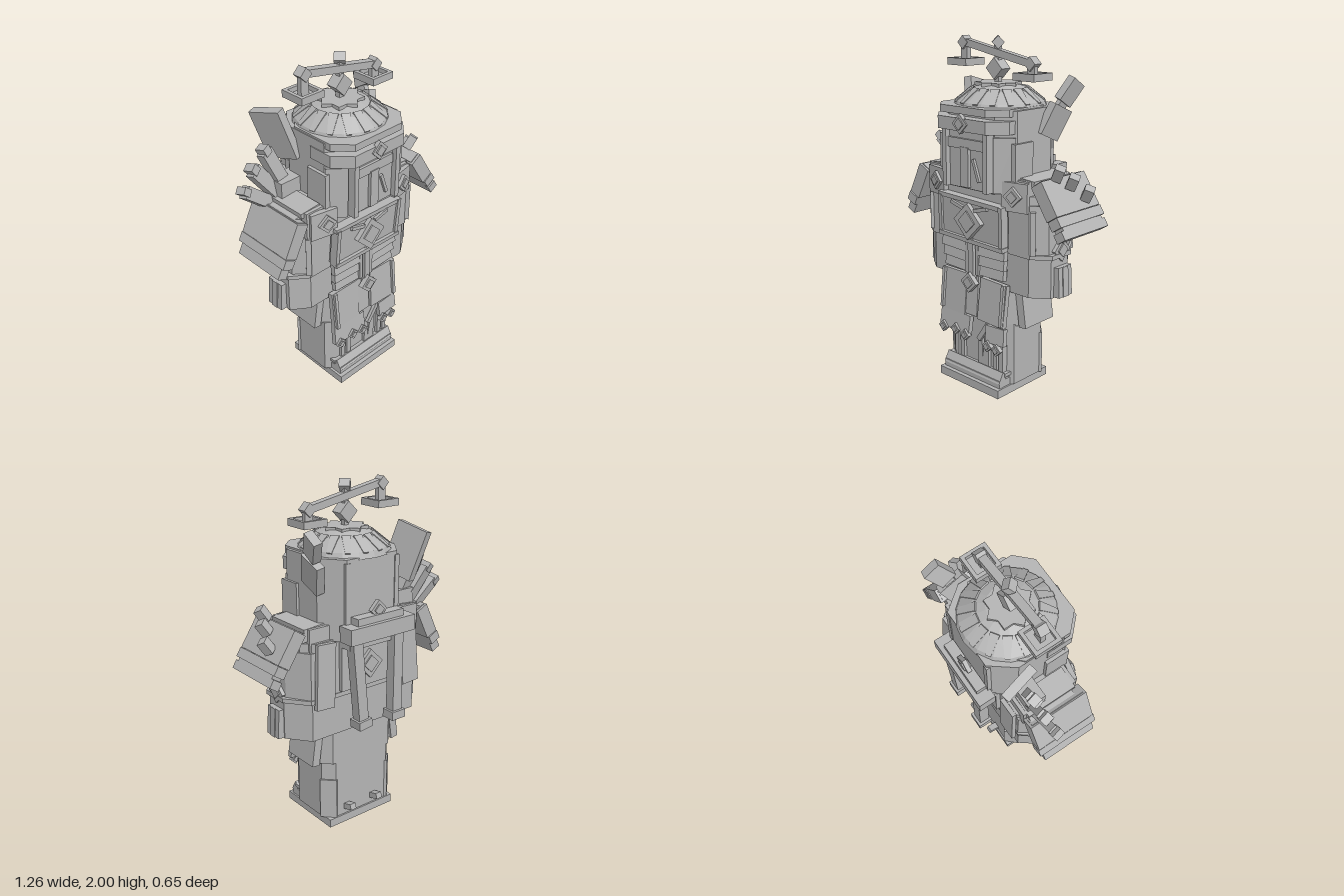
import * as THREE from 'three';

const stone = new THREE.MeshStandardMaterial({ color: 0xb4b4b4, flatShading: true });
stone.name = 'grey stone';

export function createModel() {
  const root = new THREE.Group();
  root.name = 'armouredStatue';

  const add = (name, geo, x = 0, y = 0, z = 0, rx = 0, ry = 0, rz = 0, parent = root) => {
    const m = new THREE.Mesh(geo, stone);
    m.name = name;
    m.position.set(x, y, z);
    m.rotation.set(rx, ry, rz);
    parent.add(m);
    return m;
  };
  const box = (name, w, h, d, x, y, z, rx, ry, rz, parent) =>
    add(name, new THREE.BoxGeometry(w, h, d), x, y, z, rx, ry, rz, parent);
  // box given by its limits
  const block = (name, x0, x1, y0, y1, z0, z1) =>
    box(name, x1 - x0, y1 - y0, z1 - z0, (x0 + x1) / 2, (y0 + y1) / 2, (z0 + z1) / 2);
  // upright prism with chamfered corners: cx across, cf front depth, cb back depth
  const prism = (name, x0, x1, z0, z1, y0, y1, cx, cf = cx, cb = cf) => {
    const pts = [[x0 + cx, z0], [x1 - cx, z0], [x1, z0 + cb], [x1, z1 - cf],
      [x1 - cx, z1], [x0 + cx, z1], [x0, z1 - cf], [x0, z0 + cb]];
    const geo = new THREE.ExtrudeGeometry(
      new THREE.Shape(pts.map(([x, z]) => new THREE.Vector2(x, -z))),
      { depth: y1 - y0, bevelEnabled: false });
    geo.rotateX(-Math.PI / 2);
    return add(name, geo, 0, y0, 0);
  };
  // square set on its corner, r is the half diagonal
  const diamond = (name, r, d, x, y, z, ry = 0) => {
    const g = new THREE.Group();
    g.name = name;
    g.position.set(x, y, z);
    g.rotation.y = ry;
    root.add(g);
    const s = r * Math.SQRT2;
    box('diamondPlate', s, s, d, 0, 0, 0, 0, 0, Math.PI / 4, g);
    box('diamondBoss', s * 0.6, s * 0.6, d + 0.015, 0, 0, 0, 0, 0, Math.PI / 4, g);
  };

  // plinth and legs
  block('plinth', -0.245, 0.23, 0, 0.05, -0.15, 0.275);
  prism('legColumn', -0.265, 0.24, -0.14, 0.19, 0.05, 0.42, 0.06, 0.04, 0.06);
  block('lowerStep', -0.23, 0.22, 0.05, 0.095, 0.15, 0.25);
  box('tiltedStep', 0.45, 0.07, 0.04, -0.005, 0.1, 0.22, -0.5);
  block('stepRail', -0.235, 0.225, 0.11, 0.13, 0.16, 0.21);
  for (const x of [-0.165, -0.12, 0.03, 0.08, 0.145, 0.19]) {
    block('legPipe', x - 0.015, x + 0.015, 0.12, 0.3, 0.17, 0.21);
  }
  for (const x of [-0.1, 0.1]) box('rearStud', 0.04, 0.035, 0.07, x, 0.11, -0.17, 0.3);
  for (const s of [-1, 1]) {
    box('cornerPost', 0.1, 0.25, 0.025, s * 0.22 - 0.012, 0.175, -0.108, 0, s * 2.356);
  }

  // skirt with panels, tassets and fringe
  prism('skirtCore', -0.28, 0.26, -0.14, 0.18, 0.41, 0.63, 0.06);
  box('skirtPanel', 0.2, 0.25, 0.03, -0.165, 0.545, 0.215, -0.1);
  box('skirtPanel', 0.2, 0.25, 0.03, 0.14, 0.545, 0.215, -0.1, 0, -0.03);
  box('skirtCentre', 0.09, 0.24, 0.03, -0.02, 0.55, 0.21, -0.08);
  for (const s of [-1, 1]) {
    box('skirtPanelRim', 0.02, 0.24, 0.02, s * 0.235 - 0.01, 0.55, 0.235, -0.1);
    box('hipFlap', 0.05, 0.22, 0.24, s * 0.285 - 0.008, 0.52, 0.02, 0, 0, s * 0.14);
  }
  box('fringePlate', 0.24, 0.12, 0.03, -0.145, 0.365, 0.23, -0.12, 0, -0.04);
  box('fringePlate', 0.14, 0.1, 0.03, 0.175, 0.36, 0.23, -0.12, 0, 0.06);
  for (const [x, y] of [[-0.23, 0.31], [-0.13, 0.32], [-0.05, 0.305], [0.13, 0.29], [0.2, 0.285]]) {
    diamond('fringeDiamond', 0.036, 0.025, x, y, 0.25);
  }
  box('brokenStrap', 0.03, 0.14, 0.02, 0.07, 0.35, 0.22, 0, 0, -0.6);
  box('brokenStrap', 0.025, 0.16, 0.02, 0.065, 0.21, 0.2, 0, 0, -0.15);

  // waist and torso
  prism('waist', -0.48, 0.46, -0.17, 0.17, 0.62, 0.85, 0.1, 0.07, 0.13);
  prism('waistRim', -0.49, 0.475, -0.18, 0.18, 0.845, 0.87, 0.1, 0.07, 0.13);
  prism('torso', -0.46, 0.45, -0.175, 0.18, 0.87, 1.14, 0.08, 0.07, 0.13);
  prism('torsoRim', -0.42, 0.4, -0.175, 0.2, 1.1, 1.19, 0.06);
  for (const s of [-1, 1]) {
    box('waistTab', 0.04, 0.17, 0.11, s * 0.485 - 0.01, 0.71, 0.02, 0, 0, s * 0.06);
    diamond('sideDiamond', 0.065, 0.045, s * 0.455 - 0.005, 0.885, 0.02, Math.PI / 2);
    box('sideStrip', 0.03, 0.17, 0.045, s * 0.495 - 0.01, 0.71, 0.02, 0, 0, s * 0.06);
    box('torsoPost', 0.03, 0.24, 0.04, s * 0.39, 0.99, 0.17, 0, s * 0.7);
    // stacked belt plates
    for (let i = 0; i < 3; i++) {
      box('beltPlate', 0.21 - i * 0.015, 0.065, 0.03, s * 0.14 - 0.01, 0.84 - i * 0.06, 0.215 - i * 0.005, -0.15, 0, s * 0.03);
    }
    box('beltEdge', 0.02, 0.19, 0.03, s * 0.04 - 0.01, 0.78, 0.22);
  }
  block('beltStrip', -0.03, 0.01, 0.62, 0.9, 0.18, 0.245);
  diamond('beltDiamond', 0.06, 0.03, -0.01, 0.64, 0.25);

  // chest plate with framed emblem
  box('chestPlate', 0.48, 0.24, 0.05, -0.01, 1, 0.215, 0.05, 0, -0.03);
  for (const s of [-1, 1]) {
    box('chestRim', 0.5, 0.025, 0.05, -0.01, 1 + s * 0.115, 0.228, 0.05, 0, -0.03);
    box('chestRim', 0.025, 0.24, 0.05, -0.01 + s * 0.235, 1, 0.228, 0.05, 0, -0.03);
    box('chestBracket', 0.1, 0.02, 0.02, s * 0.09 - 0.01, 1.08, 0.25, 0, 0, s * 0.25);
  }
  diamond('chestEmblem', 0.105, 0.04, -0.01, 1, 0.25);

  // shoulders
  for (const s of [-1, 1]) {
    box('shoulderBlock', 0.16, 0.16, 0.34, s * 0.305 - 0.02, 1.19, 0.01);
    box('shoulderCap', 0.13, 0.03, 0.3, s * 0.34 - 0.02, 1.26, 0.01, 0, 0, -s * 0.08);
    box('shoulderFront', 0.16, 0.16, 0.03, s * 0.3 - 0.01, 1.18, 0.2, 0, s * 0.2);
    diamond('shoulderDiamond', 0.055, 0.03, s * 0.295 - 0.005, 1.185, 0.22, s * 0.2);
    // hanging arm guard, tilted outward
    const guard = new THREE.Group();
    guard.name = s > 0 ? 'leftArmGuard' : 'rightArmGuard';
    guard.position.set(s * 0.515, s > 0 ? 1.135 : 1.09, 0.015);
    guard.rotation.z = s * (s > 0 ? 0.58 : 0.46);
    root.add(guard);
    box('guardPlate', 0.06, 0.33, 0.33, 0, 0, 0, 0, 0, 0, guard);
    box('guardUpper', 0.08, 0.2, 0.36, 0, 0.06, 0, 0, 0, 0, guard);
    box('guardMiddle', 0.07, 0.055, 0.37, s * 0.005, -0.07, 0, 0, 0, 0, guard);
    box('guardLower', 0.06, 0.05, s > 0 ? 0.37 : 0.28, 0, -0.14, 0, 0, 0, 0, guard);
    box('guardLink', 0.12, 0.05, 0.28, s * 0.42, 1.22, 0, 0, 0, -s * 0.1);
  }
  for (const [x, y, z] of [[0.49, 1.32, 0.09], [0.53, 1.27, 0.02], [0.57, 1.2, -0.06]]) {
    box('guardStud', 0.055, 0.08, 0.05, x, y, z, 0.5, 0.4, -0.6);
  }

  // fan of slats behind the right shoulder: x, y, length, width, z, depth, lean
  for (const [x, y, l, w, z, d, a] of [
    [-0.325, 1.59, 0.29, 0.05, -0.14, 0.2, 0.26], [-0.385, 1.43, 0.22, 0.08, -0.1, 0.05, 0.38],
    [-0.445, 1.365, 0.23, 0.08, -0.1, 0.05, 0.65], [-0.505, 1.295, 0.22, 0.07, -0.09, 0.05, 0.9]]) {
    const g = new THREE.Group();
    g.name = 'wingSlat';
    g.position.set(x, y, z);
    g.rotation.set(-0.25, 0.2, a);
    root.add(g);
    box('slat', w, l, d, 0, 0, 0, 0, 0, 0, g);
    if (w > 0.06) box('slatTip', w * 0.6, 0.05, d * 1.2, 0, l / 2 + 0.005, 0, 0, 0, 0, g);
  }
  block('wingRoot', -0.4, -0.25, 1.22, 1.36, -0.13, -0.02);

  // broken horn on the left
  box('hornLower', 0.05, 0.18, 0.15, 0.295, 1.55, -0.1, -0.4, 0, -0.25);
  box('hornJoint', 0.03, 0.09, 0.06, 0.32, 1.65, -0.14, -0.5, 0, -0.3);
  box('hornUpper', 0.05, 0.14, 0.1, 0.345, 1.71, -0.17, -0.55, 0, -0.3);

  // head
  prism('head', -0.27, 0.275, -0.235, 0.24, 1.18, 1.63, 0.1, 0.07, 0.13);
  prism('headRim', -0.265, 0.255, -0.15, 0.3, 1.6, 1.64, 0.09);
  prism('browBand', -0.275, 0.265, 0.05, 0.31, 1.51, 1.58, 0.09, 0.09, 0.02);
  block('facePlate', -0.16, 0.16, 1.19, 1.51, 0.2, 0.265);
  block('visorBar', -0.145, 0.13, 1.41, 1.465, 0.25, 0.28);
  block('noseGuard', -0.04, 0.02, 1.2, 1.42, 0.25, 0.285);
  box('faceScar', 0.018, 0.13, 0.02, 0.07, 1.3, 0.27, 0, 0, 0.35);
  diamond('browDiamond', 0.055, 0.025, -0.01, 1.55, 0.305);
  for (const s of [-1, 1]) {
    block('faceEdge', s * 0.155 - 0.015, s * 0.155 + 0.015, 1.19, 1.51, 0.2, 0.295);
    box('cheekPlate', 0.12, 0.3, 0.03, s * 0.22, 1.34, 0.21, 0, s * 0.7);
    box('earPlate', 0.03, 0.26, 0.14, s * 0.275, 1.33, 0.13);
    box('napePost', 0.03, 0.42, 0.03, s * 0.17, 1.4, -0.225);
  }

  // dome with tapering ribs
  const profile = [[0.265, 0], [0.25, 0.035], [0.18, 0.09], [0.11, 0.118], [0, 0.125]]
    .map(([r, y]) => new THREE.Vector2(r, y));
  add('dome', new THREE.LatheGeometry(profile, 18), 0, 1.62, 0.01);
  const ribGeo = new THREE.CylinderGeometry(0.036, 0.02, 0.12, 4).rotateY(Math.PI / 4).scale(1, 1, 0.3);
  for (let i = 0; i < 16; i++) {
    const rib = new THREE.Group();
    rib.name = 'domeRib';
    rib.position.set(0, 1.62, 0.01);
    rib.rotation.y = (i + 0.5) / 16 * Math.PI * 2;
    root.add(rib);
    add('ribWedge', ribGeo, 0, 0.066, 0.204, -0.93, 0, 0, rib);
  }
  for (const a of [0, Math.PI / 4]) box('domeStar', 0.185, 0.02, 0.185, -0.01, 1.742, 0.015, 0, a);

  // balance on the crown
  block('balancePost', -0.025, 0.005, 1.75, 1.96, 0, 0.03);
  box('balanceBoss', 0.085, 0.085, 0.07, -0.01, 1.825, 0.015, 0, 0, Math.PI / 4);
  box('balanceFinial', 0.05, 0.05, 0.06, -0.01, 1.965, 0.015, 0, Math.PI / 4, Math.PI / 4);
  box('balanceBeam', 0.53, 0.04, 0.045, -0.01, 1.91, 0.015, 0, 0, -0.19);
  for (const [x, top, pan] of [[-0.262, 1.955, 1.845], [0.24, 1.862, 1.79]]) {
    box('beamEnd', 0.055, 0.055, 0.055, x, top, 0.015, 0, 0, Math.PI / 4);
    block('panHanger', x - 0.025, x + 0.025, pan, top, 0, 0.03);
    block('panFloor', x - 0.07, x + 0.07, pan - 0.015, pan, -0.05, 0.08);
    for (const s of [-1, 1]) {
      box('panRim', 0.15, 0.04, 0.02, x, pan + 0.005, 0.015 + s * 0.065);
      box('panRim', 0.02, 0.04, 0.15, x + s * 0.065, pan + 0.005, 0.015);
    }
  }

  // back: crossbar with hanging pillars and emblem
  block('crossbar', -0.235, 0.215, 1.19, 1.28, -0.325, -0.225);
  block('crossbarCap', -0.17, 0.15, 1.27, 1.32, -0.3, -0.24);
  block('crossbarMount', -0.2, 0.18, 1.14, 1.2, -0.27, -0.16);
  diamond('crossbarDiamond', 0.055, 0.025, -0.01, 1.34, -0.27);
  block('rearPillar', -0.175, -0.11, 0.7, 1.2, -0.3, -0.24);
  block('rearPillarFoot', -0.19, -0.095, 0.665, 0.715, -0.315, -0.23);
  box('leaningPillar', 0.065, 0.5, 0.06, 0.125, 0.95, -0.27, 0, 0, -0.1);
  box('leaningPillarFoot', 0.09, 0.05, 0.085, 0.1, 0.7, -0.272, 0, 0, -0.1);
  block('rearPanel', -0.2, 0.18, 0.88, 1.14, -0.2, -0.165);
  diamond('rearEmblem', 0.085, 0.03, -0.01, 1.01, -0.205);
  for (const s of [-1, 1]) box('rearShoulderPlate', 0.12, 0.37, 0.025, s * 0.3 - 0.01, 1, -0.195, 0.04, 0, s * 0.06);

  return root;
}
